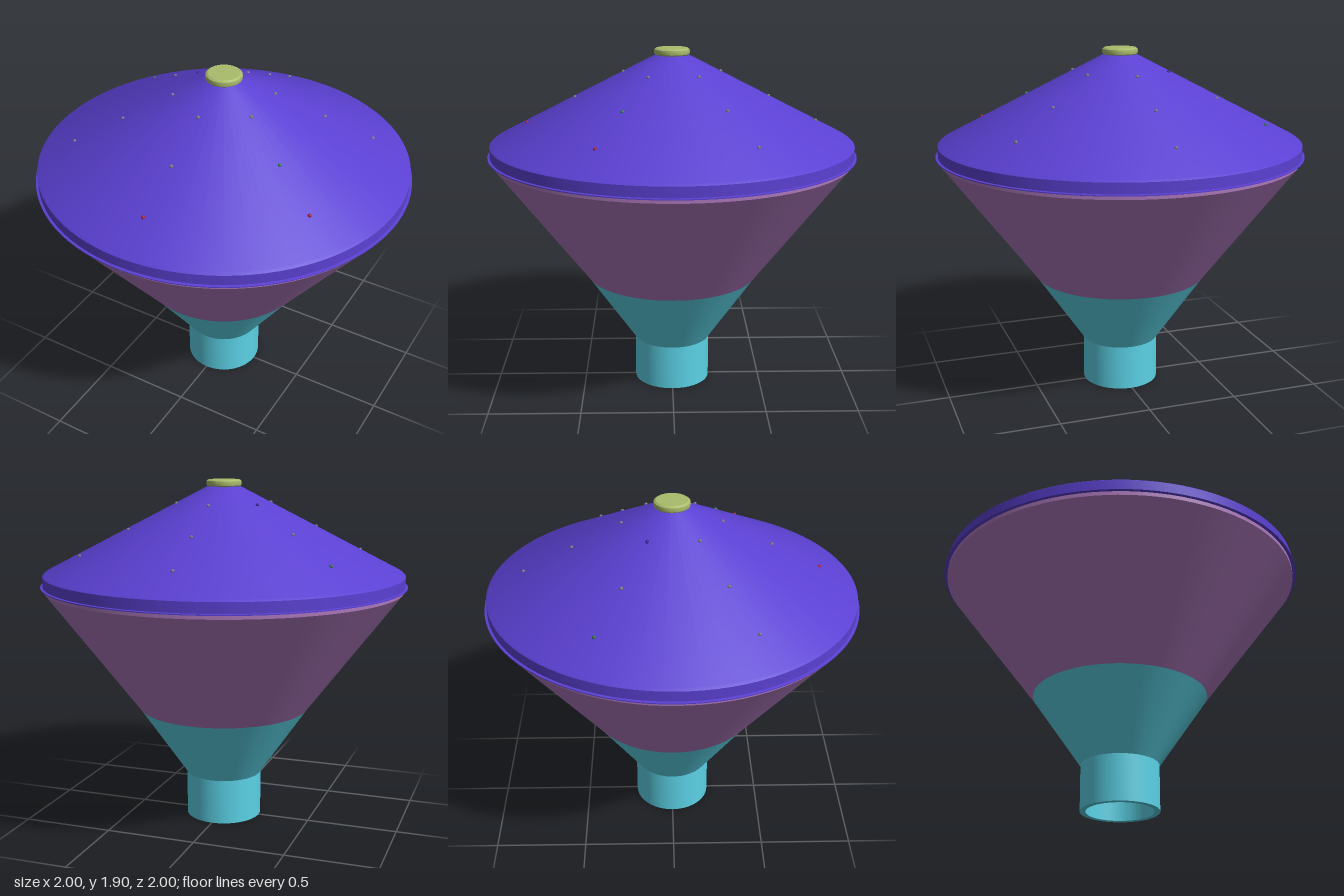
import * as THREE from 'three';
import { toCreasedNormals } from 'three/addons/utils/BufferGeometryUtils.js';

// Turned part: profile of [radius, height], outside going up, inside going down
function turned(name, color, profile) {
  const points = profile.map(([r, y]) => new THREE.Vector2(r, y));
  const geometry = toCreasedNormals(new THREE.LatheGeometry(points, 96), 0.35);
  const material = new THREE.MeshStandardMaterial({ color, side: THREE.DoubleSide });
  const mesh = new THREE.Mesh(geometry, material);
  mesh.name = name;
  return mesh;
}

export function createModel() {
  const model = new THREE.Group();
  model.name = 'funnelLamp';

  // Open tube flaring into a hollow lower funnel
  model.add(turned('neck', 0x5bd2e6, [
    [0.18, 0], [0.21, 0], [0.21, 0.25], [0.475, 0.635],
    [0.445, 0.635], [0.18, 0.26], [0.18, 0],
  ]));

  // Wide upper funnel with a short upright lip
  model.add(turned('bowl', 0xab77ba, [
    [0.445, 0.635], [0.475, 0.635], [0.982, 1.305], [0.982, 1.33],
    [0.955, 1.33], [0.955, 1.31], [0.445, 0.635],
  ]));

  // Conical roof with an upright rim and a thin flange at its foot
  model.add(turned('roof', 0x5b40d2, [
    [0.955, 1.326], [1, 1.326], [1, 1.331], [0.987, 1.333], [0.987, 1.388],
    [0.975, 1.398], [0.085, 1.86], [0, 1.86], [0, 1.835], [0.08, 1.835],
    [0.955, 1.375], [0.955, 1.326],
  ]));

  // Rounded cap at the peak
  model.add(turned('cap', 0xa9bc6b, [
    [0, 1.855], [0.085, 1.855], [0.094, 1.863], [0.096, 1.875],
    [0.094, 1.887], [0.084, 1.894], [0, 1.896],
  ]));

  // Tiny studs: six rows of three running down the roof
  const studs = new THREE.Group();
  studs.name = 'studs';
  const studGeometry = new THREE.SphereGeometry(0.01, 10, 8);
  const tints = { '0,2': 0xa02040, '1,2': 0xa02040, '0,1': 0x2f8060, '3,2': 0x2f7040, '3,0': 0x302090 };
  for (let row = 0; row < 6; row++) {
    const angle = THREE.MathUtils.degToRad(29 + row * 60);
    [0.262, 0.524, 0.786].forEach((r, i) => {
      const color = tints[`${row},${i}`] ?? 0x777788;
      const stud = new THREE.Mesh(studGeometry, new THREE.MeshStandardMaterial({ color }));
      stud.name = 'stud';
      stud.position.set(r * Math.cos(angle), 1.86 - (r - 0.085) * 0.519, r * Math.sin(angle));
      studs.add(stud);
    });
  }
  model.add(studs);

  return model;
}
